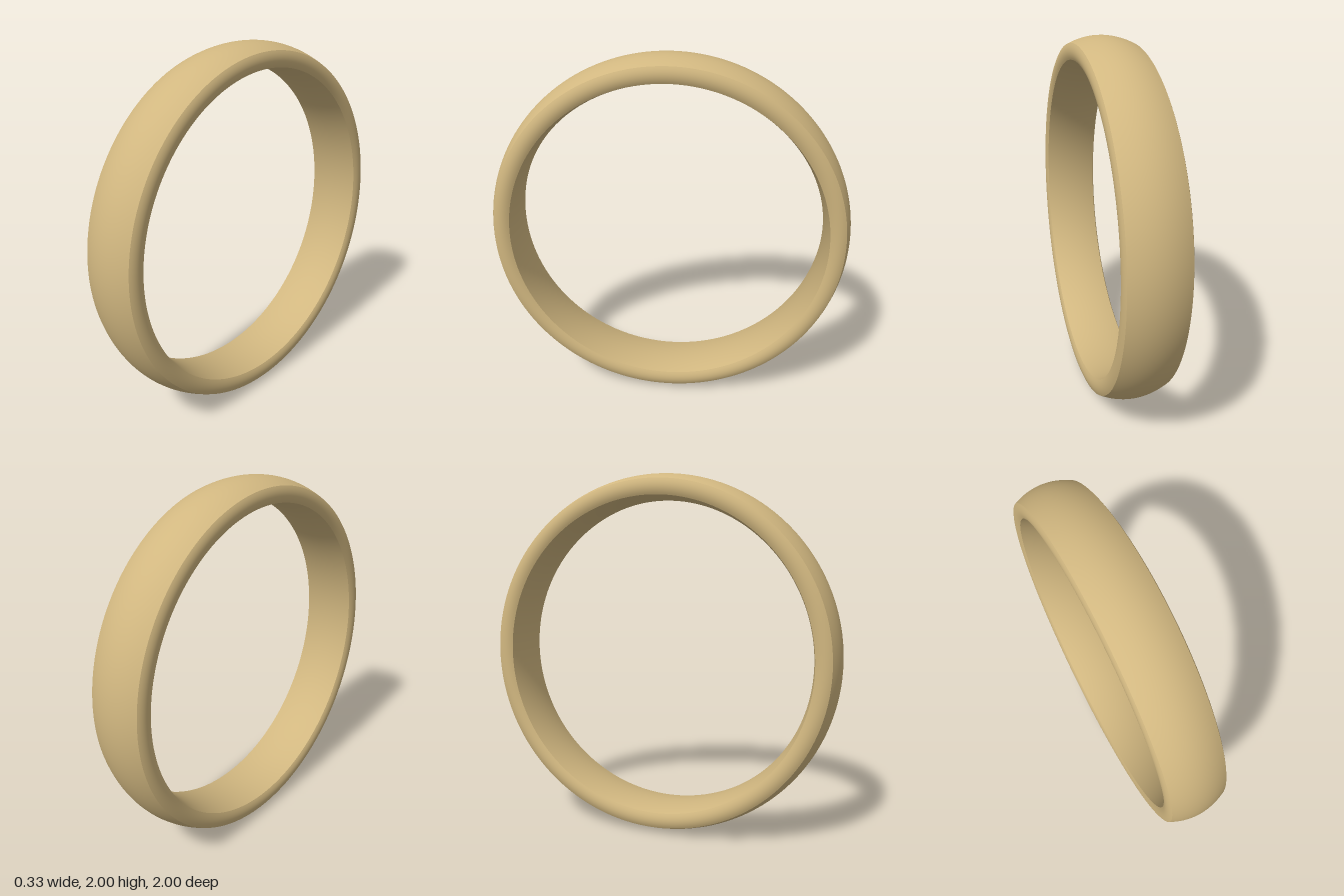
import * as THREE from 'three';

// Points as (radius, axial position) along a shallow arc: a -> bulge -> b
function arc(a, bulge, b, steps) {
  const control = new THREE.Vector2(...bulge).multiplyScalar(2)
    .sub(new THREE.Vector2(...a).add(new THREE.Vector2(...b)).multiplyScalar(0.5));
  return new THREE.QuadraticBezierCurve(new THREE.Vector2(...a), control, new THREE.Vector2(...b)).getPoints(steps);
}

export function createModel() {
  const ring = new THREE.Group();
  ring.name = 'ring';
  const gold = new THREE.MeshStandardMaterial({ color: 0xd1b780 });

  const halfWidth = 0.153, outerEdge = 0.963, innerEdge = 0.877;
  const rim = (outerEdge + innerEdge) / 2;

  // Four curved faces meeting at crisp edges, ordered so they face outwards
  const faces = {
    outerDome: arc([outerEdge, -halfWidth], [1, 0], [outerEdge, halfWidth], 20),
    leftRim: arc([outerEdge, halfWidth], [rim, 0.165], [innerEdge, halfWidth], 12),
    innerBand: arc([innerEdge, halfWidth], [0.858, 0], [innerEdge, -halfWidth], 20),
    rightRim: arc([innerEdge, -halfWidth], [rim, -0.165], [outerEdge, -halfWidth], 12),
  };

  for (const [name, profile] of Object.entries(faces)) {
    const geometry = new THREE.LatheGeometry(profile, 160);
    geometry.rotateZ(-Math.PI / 2); // turn the axis from y to x
    geometry.translate(0, 1, 0);
    const mesh = new THREE.Mesh(geometry, gold);
    mesh.name = name;
    ring.add(mesh);
  }
  return ring;
}
